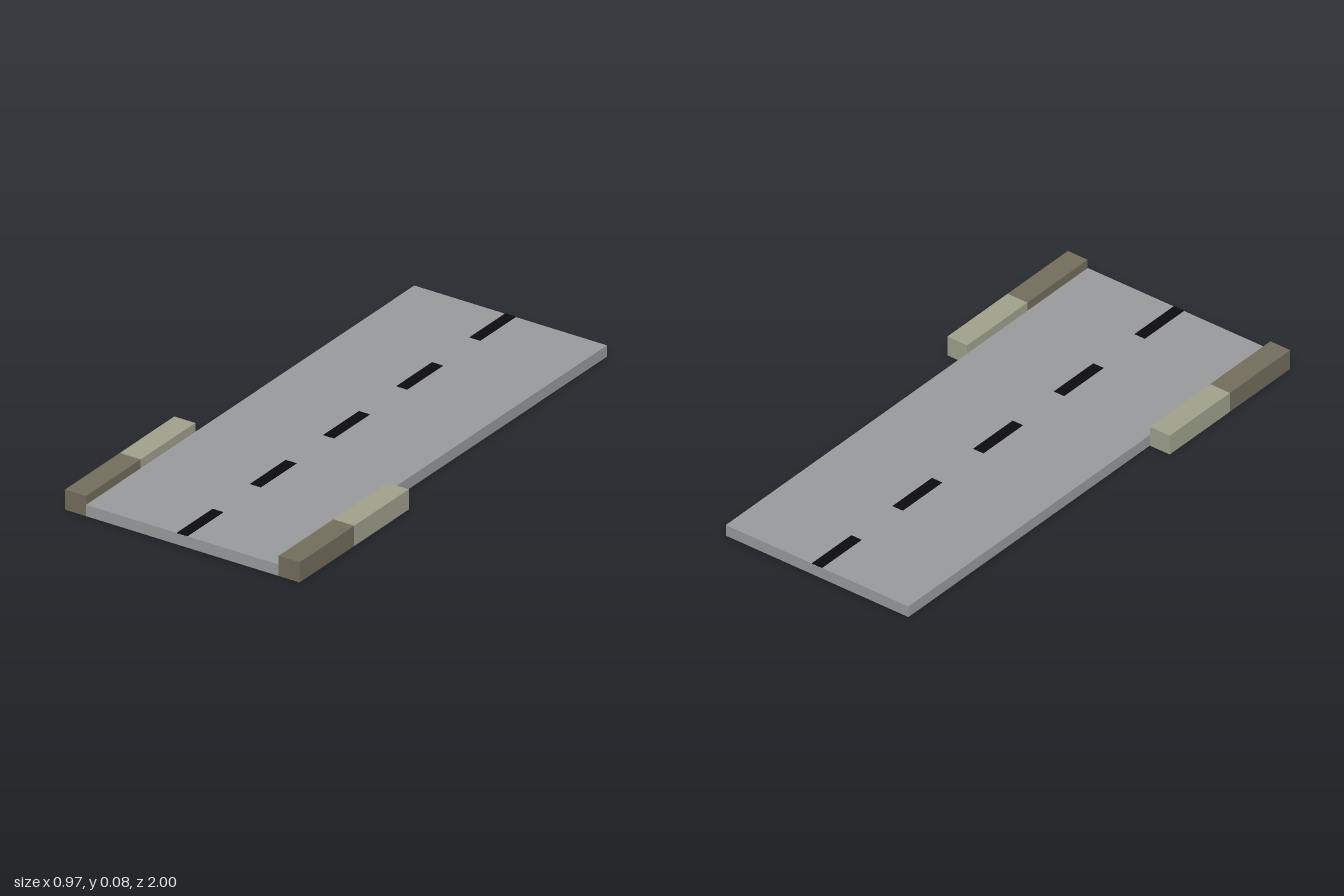
import * as THREE from 'three';

export function createModel() {
  const group = new THREE.Group();
  const paint = (color) => new THREE.MeshStandardMaterial({ color });
  const asphalt = paint(0x9a9b9d);
  const black = paint(0x0c0c0e);
  const darkStone = paint(0x736d5c);
  const paleStone = paint(0xa0a28d);

  // Box given by its extents on each axis
  function block(name, material, [x0, x1], [y0, y1], [z0, z1]) {
    const mesh = new THREE.Mesh(new THREE.BoxGeometry(x1 - x0, y1 - y0, z1 - z0), material);
    mesh.position.set((x0 + x1) / 2, (y0 + y1) / 2, (z0 + z1) / 2);
    mesh.name = name;
    group.add(mesh);
  }

  // Road slab
  const roadTop = 0.044;
  block('roadSlab', asphalt, [-0.4, 0.4], [0, roadTop], [-1, 1]);

  // Five centre line dashes, evenly spaced from end to end
  const dash = 0.217;
  const step = (2 - dash) / 4;
  for (let i = 0; i < 5; i++) {
    const z = -1 + i * step;
    block('centreDash', black, [-0.022, 0.022], [roadTop - 0.002, roadTop + 0.002], [z, z + dash]);
  }

  // Two-tone kerbs on both sides of the front end
  for (const side of [-1, 1]) {
    const x = side > 0 ? [0.4, 0.487] : [-0.487, -0.4];
    const label = side > 0 ? 'left' : 'right';
    block(label + 'FrontKerb', darkStone, x, [0, 0.078], [0.667, 1]);
    block(label + 'RearKerb', paleStone, x, [0, 0.078], [0.334, 0.667]);
  }
  return group;
}
